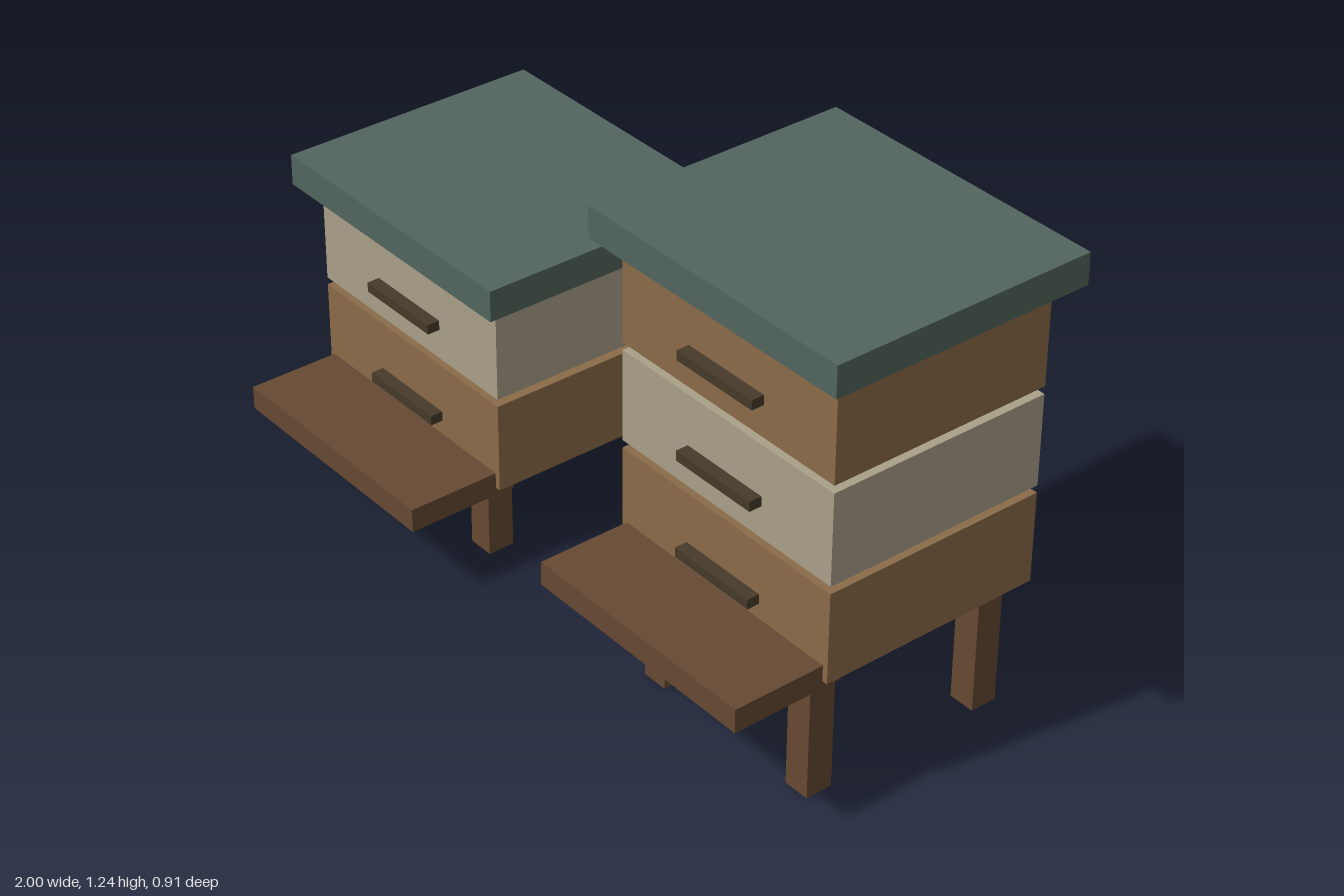
import * as THREE from 'three';

const mat = (name, color) => {
  const m = new THREE.MeshStandardMaterial({ color });
  m.name = name;
  return m;
};

export function createModel() {
  const wood = mat('honey wood', 0x8a6b49);
  const cream = mat('cream paint', 0xa9a088);
  const green = mat('green roof paint', 0x52655d);
  const brown = mat('dark brown wood', 0x664933);
  const dark = mat('handle brown', 0x463a2a);

  // Box given by its centre in x and z and its bottom in y
  const block = (parent, name, material, [w, h, d], x, bottom, z) => {
    const mesh = new THREE.Mesh(new THREE.BoxGeometry(w, h, d), material);
    mesh.name = name;
    mesh.position.set(x, bottom + h / 2, z);
    parent.add(mesh);
  };

  const midZ = -0.097; // centre of the hive bodies
  const pitch = 0.261; // box height plus the open gap

  function hive(name, x, base, boxes) {
    const g = new THREE.Group();
    g.name = name;
    g.position.x = x;

    // Four square legs
    for (const sx of [-1, 1])
      for (const sz of [-1, 1])
        block(g, 'leg', brown, [0.072, base, 0.072], sx * 0.252, 0, midZ + 0.002 + sz * 0.252);

    // Landing board, tucked under the front of the lowest box
    block(g, 'landingBoard', brown, [0.68, 0.063, 0.3], 0, base - 0.021, 0.303);

    // Stacked boxes in alternating colours, each with a handle
    for (let i = 0; i < boxes; i++) {
      const y = base + i * pitch;
      block(g, 'hiveBox', i % 2 ? cream : wood, [0.71, 0.241, 0.607], 0, y, midZ);
      block(g, 'handle', dark, [0.25, 0.026, 0.036], 0, y + 0.082, 0.222);
    }

    // Overhanging flat lid
    block(g, 'lid', green, [0.815, 0.082, 0.712], 0, base + boxes * pitch + 0.002, midZ);
    return g;
  }

  const model = new THREE.Group();
  model.name = 'beehives';
  model.add(hive('shortHive', -0.593, 0.232, 2), hive('tallHive', 0.593, 0.37, 3));
  return model;
}
